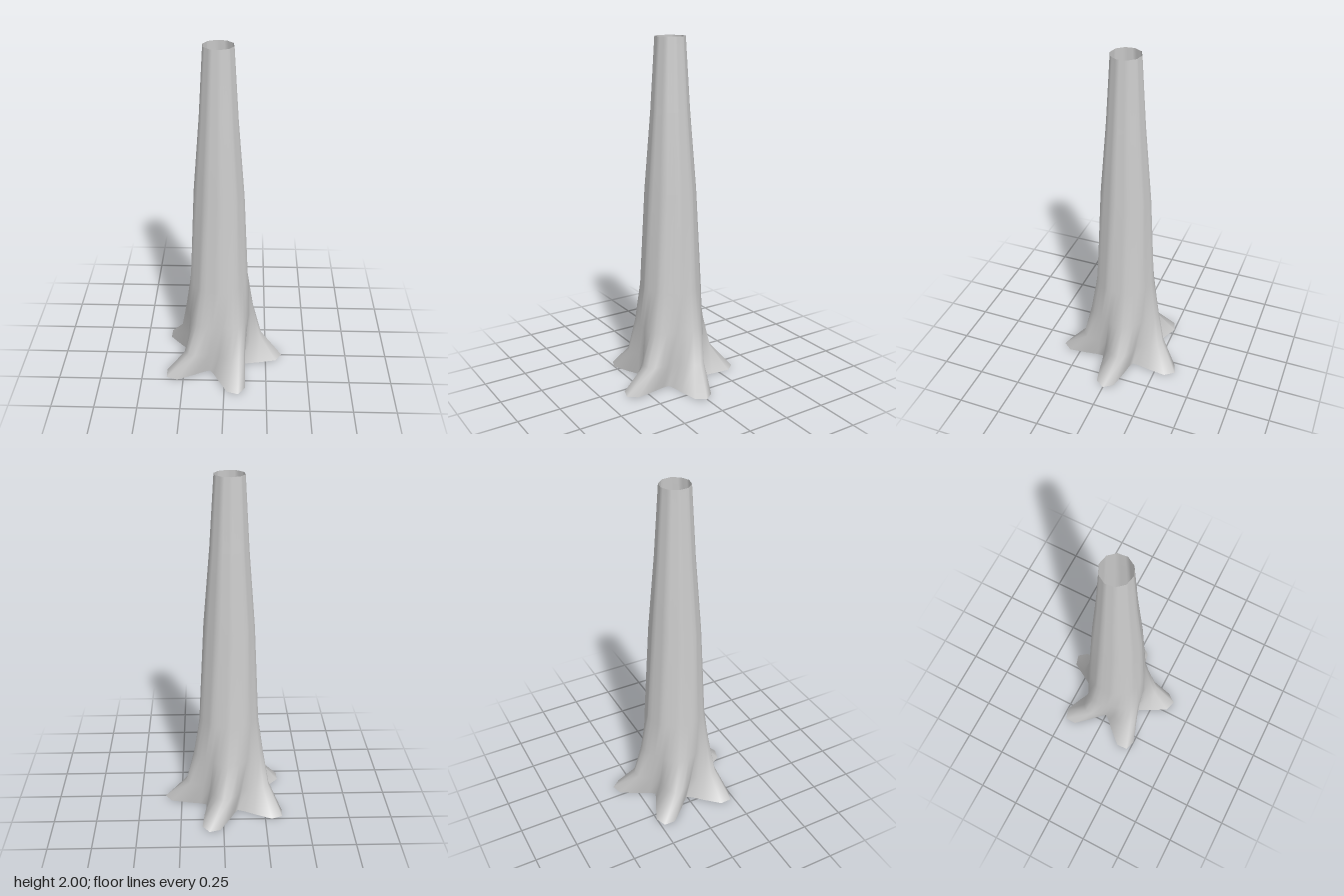
import * as THREE from 'three';

const ROOTS = 5;
const STEPS = 8; // columns per root, 9 degrees apart
const CENTRE_X = -0.037;

// radii at 0, 9, 18, 27 and 36 degrees from a root's ridge
const polygon = r => [1, 0.963, 0.951, 0.963, 1].map(f => r * f);

// cross-sections from the ground up; twist turns the ridges around the trunk
const rings = [
  { y: 0, twist: 0, radii: [0.388, 0.354, 0.253, 0.195, 0.17] },
  { y: 0.145, twist: 10, radii: [0.261, 0.25, 0.222, 0.195, 0.17] },
  { y: 0.345, twist: 16, radii: [0.212, 0.208, 0.2, 0.193, 0.187] },
  { y: 0.58, twist: 20, radii: polygon(0.178) },
  { y: 1.15, twist: 24, radii: polygon(0.147) },
  { y: 1.6, twist: 24, radii: polygon(0.11) },
  { y: 2, twist: 24, radii: polygon(0.085) },
];

function trunkGeometry() {
  const columns = ROOTS * STEPS;
  const positions = [];
  const index = [];
  rings.forEach(({ y, twist, radii }, i) => {
    for (let c = 0; c < columns; c++) {
      const k = c % STEPS;
      const r = radii[Math.min(k, STEPS - k)];
      const angle = THREE.MathUtils.degToRad(c * 360 / columns + twist);
      positions.push(CENTRE_X + r * Math.cos(angle), y, -r * Math.sin(angle));
      if (i === 0) continue;
      // quad between this ring and the one below
      const next = (c + 1) % columns;
      const low = (i - 1) * columns, high = i * columns;
      index.push(low + c, low + next, high + next, low + c, high + next, high + c);
    }
  });
  const geometry = new THREE.BufferGeometry();
  geometry.setAttribute('position', new THREE.Float32BufferAttribute(positions, 3));
  geometry.setIndex(index);
  geometry.computeVertexNormals();
  return geometry;
}

export function createModel() {
  const group = new THREE.Group();
  group.name = 'treeTrunk';
  // hollow trunk, open at the top and underneath the roots
  const bark = new THREE.MeshStandardMaterial({ color: 0xcccccc, side: THREE.DoubleSide });
  const trunk = new THREE.Mesh(trunkGeometry(), bark);
  trunk.name = 'trunkWithRoots';
  group.add(trunk);
  return group;
}
